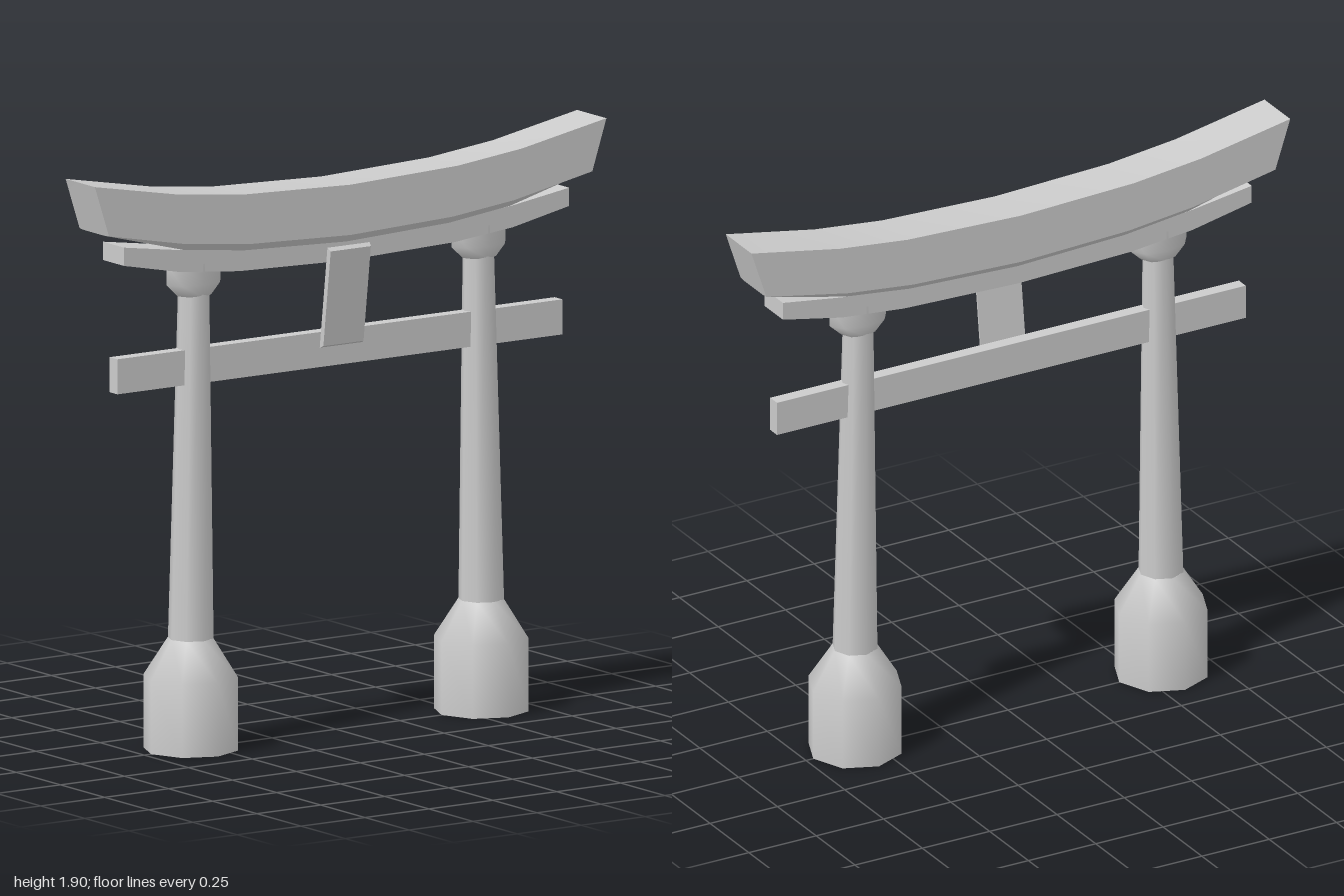
import * as THREE from 'three';
import { mergeVertices, toCreasedNormals } from 'three/addons/utils/BufferGeometryUtils.js';

const material = new THREE.MeshStandardMaterial({ color: 0xcccccc });

function add(group, name, geometry, x = 0, y = 0, z = 0) {
  const mesh = new THREE.Mesh(geometry, material);
  mesh.name = name;
  mesh.position.set(x, y, z);
  group.add(mesh);
  return mesh;
}

// Octagonal turned shape, smooth around; a repeated point makes a sharp edge.
const turned = (points) =>
  new THREE.LatheGeometry(points.map(([r, y]) => new THREE.Vector2(r, y)), 8);

// Beam lofted along x. Each station of the right half (centre to end) lists
// [x, y, z] corners of the front side, top to bottom; the rest is mirrored.
function curvedBeam(half) {
  const mirrored = half.slice(1).reverse().map((s) => s.map(([x, y, z]) => [-x, y, z]));
  const rings = [...mirrored, ...half].map((s) => [
    ...s, ...s.slice().reverse().map(([x, y, z]) => [x, y, -z]),
  ]);
  const n = rings[0].length;
  const last = (rings.length - 1) * n;
  const index = [];
  for (let i = 0; i < rings.length - 1; i++) {
    for (let j = 0; j < n; j++) {
      const a = i * n + j, b = i * n + (j + 1) % n;
      index.push(a, b, b + n, a, b + n, a + n);
    }
  }
  for (let j = 1; j < n - 1; j++) {
    index.push(0, j + 1, j, last, last + j, last + j + 1);
  }
  const geometry = new THREE.BufferGeometry();
  geometry.setAttribute('position', new THREE.Float32BufferAttribute(rings.flat(2), 3));
  geometry.setIndex(index);
  return toCreasedNormals(geometry, 0.35);
}

// Octagonal bracket, flattened front to back.
function capitalGeometry() {
  let geometry = turned([[0.062, 1.49], [0.105, 1.53], [0.105, 1.6]]);
  const p = geometry.attributes.position;
  for (let i = 0; i < p.count; i++) {
    p.setZ(i, p.getZ(i) * (p.getY(i) < 1.51 ? 0.8 : 0.58));
  }
  geometry.deleteAttribute('uv');
  geometry.deleteAttribute('normal');
  geometry = mergeVertices(geometry);
  geometry.computeVertexNormals();
  return geometry;
}

export function createModel() {
  const gate = new THREE.Group();
  gate.name = 'gate';

  // Posts: footing, tapered pillar leaning slightly inward, capital
  for (const side of [1, -1]) {
    const post = new THREE.Group();
    post.name = side > 0 ? 'leftPost' : 'rightPost';
    gate.add(post);

    add(post, 'footing', turned([
      [0, 0], [0.155, 0], [0.155, 0], [0.155, 0.24], [0.075, 0.365], [0.075, 0.365], [0, 0.365],
    ]), side * 0.568);

    const shaft = new THREE.CylinderGeometry(0.05, 0.075, 1.22, 8, 1, true);
    const p = shaft.attributes.position;
    for (let i = 0; i < p.count; i++) {
      if (p.getY(i) > 0) p.setX(i, p.getX(i) - side * 0.012);
    }
    add(post, 'pillar', shaft, side * 0.568, 0.96);
    add(post, 'capital', capitalGeometry(), side * 0.557);
  }

  // Straight tie beam through the pillars
  add(gate, 'tieBeam', new THREE.BoxGeometry(1.74, 0.115, 0.044), 0, 1.258);

  // Curved lower lintel
  const lintel = [[0, 1.62, 1.548], [0.42, 1.635, 1.56], [0.65, 1.655, 1.583], [0.87, 1.688, 1.628]];
  add(gate, 'lowerLintel', curvedBeam(lintel.map(([x, top, bottom]) => [
    [x, top, 0.06], [x, bottom, 0.06],
  ])));

  // Curved top lintel: slanted ends, underside chamfer fading toward the tips
  const cap = [
    [0, 1.8, 0, 1.635, 1.61],
    [0.42, 1.815, 0.4, 1.65, 1.626],
    [0.67, 1.843, 0.64, 1.677, 1.655],
    [1, 1.905, 0.945, 1.737, 1.735],
  ];
  add(gate, 'topLintel', curvedBeam(cap.map(([xTop, top, xLow, low, under]) => [
    [xTop, top, 0.083], [xLow, low, 0.083], [xLow, under, 0.06],
  ])));

  // Blank plaque leaning forward, with a bevelled front edge
  const board = new THREE.BoxGeometry(0.165, 0.338, 0.014).toNonIndexed();
  const b = board.attributes.position;
  for (let i = 0; i < b.count; i++) {
    if (b.getZ(i) > 0) {
      b.setX(i, b.getX(i) - Math.sign(b.getX(i)) * 0.004);
      b.setY(i, b.getY(i) - Math.sign(b.getY(i)) * 0.009);
    }
  }
  board.computeVertexNormals();
  add(gate, 'plaque', board, 0, 1.432, 0.056).rotation.x = 0.13;

  return gate;
}
